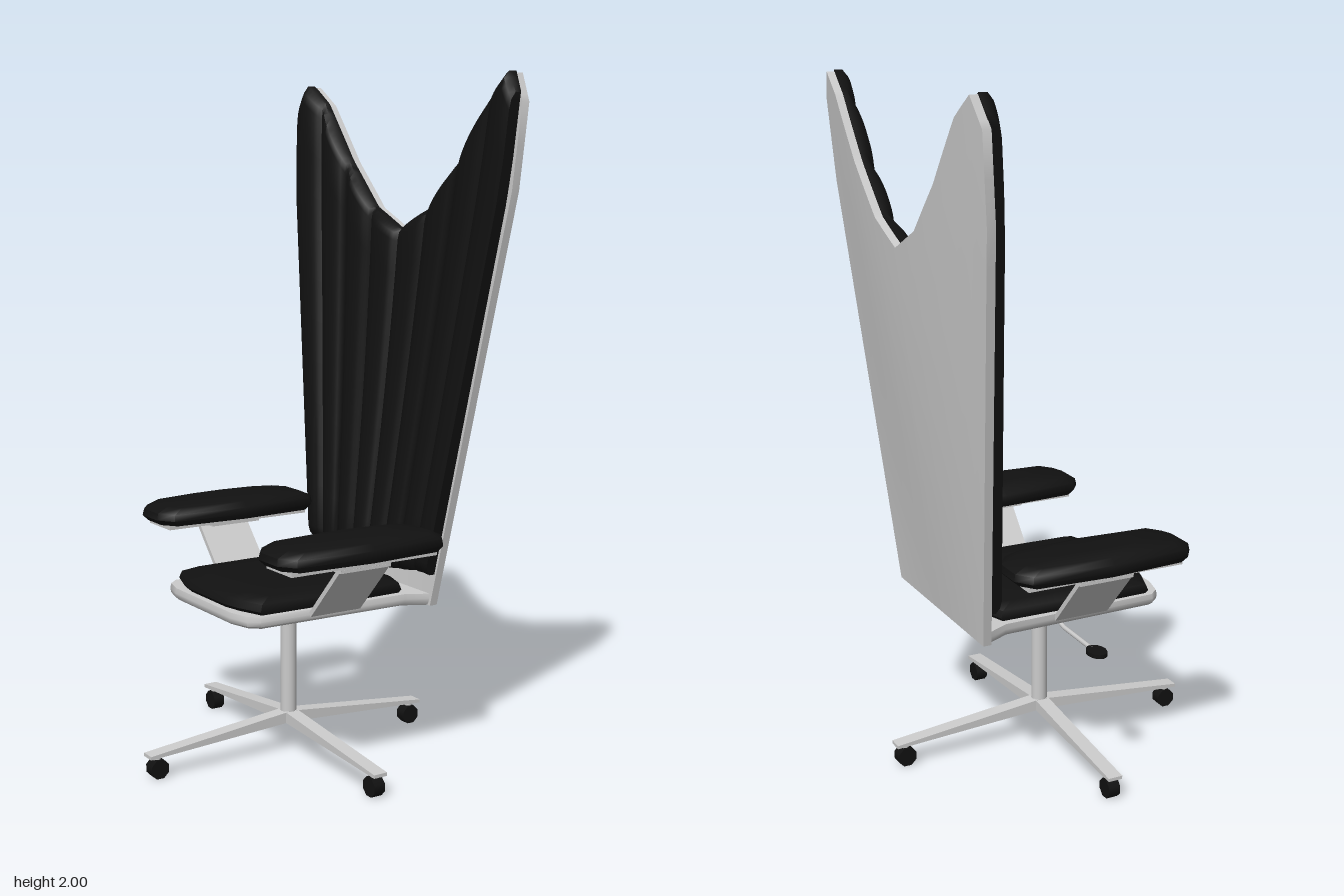
import * as THREE from 'three';
import { toCreasedNormals } from 'three/addons/utils/BufferGeometryUtils.js';

const grey = new THREE.MeshStandardMaterial({ color: 0xcccccc });
const black = new THREE.MeshStandardMaterial({ color: 0x111111 });

function add(parent, name, geometry, material, x = 0, y = 0, z = 0) {
  const mesh = new THREE.Mesh(geometry, material);
  mesh.name = name;
  mesh.position.set(x, y, z);
  parent.add(mesh);
  return mesh;
}

// Skins closed rings stacked upward (counter-clockwise from above) and caps both ends.
function loft(rings, crease = 0.6) {
  const n = rings[0].length, last = (rings.length - 1) * n, index = [];
  const quad = (a, b, c, d) => index.push(a, b, c, a, c, d);
  for (let r = 0; r < rings.length - 1; r++) {
    for (let i = 0; i < n; i++) {
      const a = r * n + i, b = r * n + (i + 1) % n;
      quad(a, b, b + n, a + n);
    }
  }
  for (let i = 0; i < n / 2 - 1; i++) {
    quad(last + i, last + i + 1, last + n - 2 - i, last + n - 1 - i);
    quad(n - 1 - i, n - 2 - i, i + 1, i);
  }
  const geometry = new THREE.BufferGeometry();
  geometry.setAttribute('position', new THREE.Float32BufferAttribute(rings.flat(2), 3));
  geometry.setIndex(index);
  return toCreasedNormals(geometry, crease);
}

// Plan outline symmetric in z, from half of its points (front to back), as scaled layers.
function padded(half, layers, crease) {
  const outline = [...half, ...[...half].reverse().map(([x, z]) => [x, -z])];
  return loft(layers.map(([sx, sz, y]) => outline.map(([x, z]) => [x * sx, y, z * sz])), crease);
}

// Top edge of the winged back: u, z, y
const crest = [[0, 0, 1.555], [0.25, 0.14, 1.62], [0.5, 0.28, 1.76],
  [0.75, 0.42, 1.94], [0.9, 0.5, 2], [1, 0.545, 1.92]];

// Rear surface of the back: u runs across (-1..1), t runs from bottom to crest.
function backPoint(u, t) {
  const a = Math.abs(u);
  let k = 0;
  while (k < crest.length - 2 && a > crest[k + 1][0]) k++;
  const [u0, z0, y0] = crest[k], [u1, z1, y1] = crest[k + 1];
  const f = (a - u0) / (u1 - u0);
  const topZ = z0 + (z1 - z0) * f, topY = y0 + (y1 - y0) * f;
  const flare = 0.026 * a ** 4 * Math.min(t / 0.835, (1 - t) / 0.165);
  const z = 0.3 * a + (topZ - 0.3 * a) * t + flare;
  const y = 0.47 + (topY - 0.47) * t;
  const x = 0.327 + (y - 0.47) * 0.071 + 0.038 * (1 - u * u) * Math.sin(Math.min(t, 1) * Math.PI / 2);
  return [x, y, Math.sign(u) * z];
}

// Slab following the back surface between two depths in front of it.
function backSlab(levels, width, rear, front, crease) {
  const N = 80;
  return loft(levels.map(([t, puff]) => {
    const ring = [];
    for (let i = 0; i <= N; i++) {
      const u = width * (1 - 2 * i / N), [x, y, z] = backPoint(u, t);
      ring.push([x - rear, y, z]);
    }
    for (let i = 0; i <= N; i++) {
      const u = width * (2 * i / N - 1), [x, y, z] = backPoint(u, t);
      ring.push([x - rear - front(u) * puff, y, z]);
    }
    return ring;
  }), crease);
}

function createBack(model) {
  const shell = [], cushion = [[0.065, 0.5], [0.075, 0.85]];
  for (let i = 0; i <= 12; i++) shell.push([i / 12, 1]);
  for (let i = 0; i <= 10; i++) cushion.push([0.09 + 0.088 * i, 1]);
  cushion.push([0.99, 0.9], [1.004, 0.55]);
  add(model, 'backShell', backSlab(shell, 1, 0, () => 0.025, 0.7), grey);
  // Eight upright channels fan out over the cushion
  const channels = (u) => 0.022 + 0.024 * Math.sqrt(Math.abs(Math.sin(4 * Math.PI * u)));
  add(model, 'backCushion', backSlab(cushion, 0.975, 0.024, channels, 0.8), black);
}

function createSeat(model) {
  const shell = [[-0.297, 0.08], [-0.297, 0.16], [-0.28, 0.225], [-0.25, 0.252], [0.24, 0.262], [0.315, 0.3]];
  add(model, 'seatShell', padded(shell,
    [[0.97, 0.96, 0.47], [0.995, 0.99, 0.477], [1, 1, 0.49], [0.99, 0.99, 0.505]], 0.8), grey);
  const cushion = [[-0.282, 0.1], [-0.27, 0.16], [-0.242, 0.238], [0, 0.243], [0.242, 0.24], [0.268, 0.16]];
  add(model, 'seatCushion', padded(cushion,
    [[0.96, 0.97, 0.5], [1, 1, 0.515], [0.97, 0.98, 0.535], [0.8, 0.85, 0.55], [0.42, 0.5, 0.561]], 0.9), black);
}

// Armrest on the +z side, centred on x = 0
function createArm() {
  const arm = new THREE.Group();
  arm.name = 'armrest';
  const half = [[-0.28, 0.048], [-0.245, 0.096], [0, 0.112], [0.245, 0.096], [0.28, 0.048]];
  add(arm, 'armPad', padded(half,
    [[0.94, 0.9, 0.668], [1, 1, 0.685], [0.985, 0.96, 0.705], [0.85, 0.82, 0.722], [0.44, 0.45, 0.735]], 0.9),
  black, 0, 0, 0.343);
  add(arm, 'armPlate', new THREE.BoxGeometry(0.49, 0.014, 0.13), grey, 0, 0.66, 0.345);
  add(arm, 'armMount', new THREE.BoxGeometry(0.17, 0.012, 0.11), grey, 0, 0.648, 0.355);
  // Slanted bracket from the seat edge to the plate
  const dy = 0.165, dz = 0.15;
  const bracket = add(arm, 'armBracket', new THREE.BoxGeometry(0.17, Math.hypot(dy, dz), 0.014), grey,
    0, 0.49 + dy / 2, 0.255 + dz / 2);
  bracket.rotation.x = Math.atan2(dz, dy);
  return arm;
}

function createLever(model) {
  const path = new THREE.CurvePath();
  const points = [[0.475, -0.09], [0.455, -0.11], [0.418, -0.145], [0.414, -0.165], [0.412, -0.35]]
    .map(([y, z]) => new THREE.Vector3(0, y, z));
  for (let i = 1; i < points.length; i++) path.add(new THREE.LineCurve3(points[i - 1], points[i]));
  add(model, 'heightLever', new THREE.TubeGeometry(path, 40, 0.007, 8), grey);
  const paddle = add(model, 'leverPaddle', new THREE.CylinderGeometry(0.028, 0.028, 0.012, 16), black, 0, 0.413, -0.362);
  paddle.scale.z = 1.4;
}

function createBase(model) {
  add(model, 'column', new THREE.CylinderGeometry(0.024, 0.024, 0.38, 20), grey, 0, 0.285, 0);
  // Side profile of a tapering leg, extruded to its width
  const profile = new THREE.Shape([[0, 0.09], [0.48, 0.063], [0.48, 0.073], [0, 0.124]]
    .map(([x, y]) => new THREE.Vector2(x, y)));
  const legGeometry = new THREE.ExtrudeGeometry(profile, { depth: 0.044, bevelEnabled: false });
  legGeometry.translate(0, 0, -0.022);
  const wheelGeometry = new THREE.CylinderGeometry(0.03, 0.03, 0.036, 8);
  wheelGeometry.rotateX(Math.PI / 2).rotateZ(Math.PI / 8);
  for (let i = 0; i < 4; i++) {
    const leg = new THREE.Group();
    leg.name = 'baseLeg';
    leg.rotation.y = i * Math.PI / 2;
    add(leg, 'legBeam', legGeometry, grey);
    add(leg, 'casterStem', new THREE.CylinderGeometry(0.012, 0.012, 0.03, 10), grey, 0.45, 0.055, 0);
    add(leg, 'casterWheel', wheelGeometry, black, 0.448, 0.028, 0);
    model.add(leg);
  }
}

export function createModel() {
  const model = new THREE.Group();
  model.name = 'swivelChair';
  createBase(model);
  createSeat(model);
  createBack(model);
  createLever(model);
  for (const turn of [0, Math.PI]) {
    const arm = createArm();
    arm.rotation.y = turn;
    arm.position.x = -0.005;
    model.add(arm);
  }
  return model;
}
